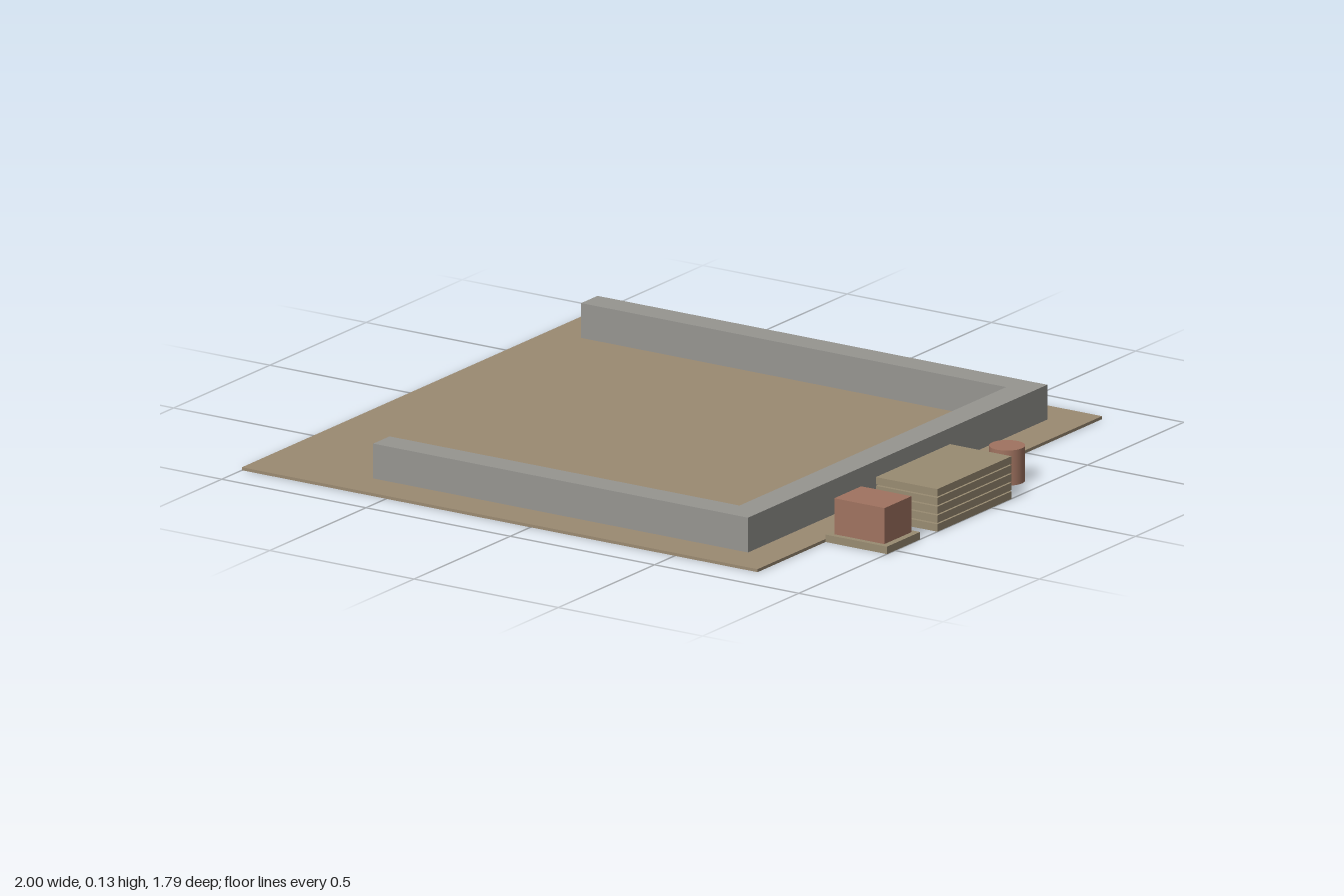
import * as THREE from 'three';

export function createModel() {
  const model = new THREE.Group();
  const makeMaterial = (name, color) => {
    const m = new THREE.MeshStandardMaterial({ color });
    m.name = name;
    return m;
  };
  const earth = makeMaterial('earth brown', 0x9b8a72);
  const timber = makeMaterial('timber tan', 0x998b72);
  const stone = makeMaterial('stone grey', 0x969590);
  const clay = makeMaterial('clay red', 0xa07360);

  // Box given by its extents along each axis
  const addBox = (name, material, [x0, x1], [y0, y1], [z0, z1], parent = model) => {
    const mesh = new THREE.Mesh(new THREE.BoxGeometry(x1 - x0, y1 - y0, z1 - z0), material);
    mesh.position.set((x0 + x1) / 2, (y0 + y1) / 2, (z0 + z1) / 2);
    mesh.name = name;
    parent.add(mesh);
  };

  // Ground slab
  addBox('groundSlab', earth, [-1, 0.787], [0, 0.009], [-0.895, 0.895]);

  // Unfinished three-sided wall, extruded upwards from its plan (x, -z)
  const plan = new THREE.Shape([
    [-0.885, 0.78], [-0.885, 0.695], [0.588, 0.695], [0.588, -0.69],
    [-0.625, -0.69], [-0.625, -0.775], [0.674, -0.775], [0.674, 0.78],
  ].map(([x, y]) => new THREE.Vector2(x, y)));
  const wallGeometry = new THREE.ExtrudeGeometry(plan, { depth: 0.111, bevelEnabled: false });
  wallGeometry.rotateX(-Math.PI / 2);
  const wall = new THREE.Mesh(wallGeometry, stone);
  wall.position.y = 0.003;
  wall.name = 'foundationWall';
  model.add(wall);

  // Stack of five planks with narrow gaps
  const stack = new THREE.Group();
  stack.name = 'plankStack';
  model.add(stack);
  for (let i = 0; i < 5; i++) {
    const y = i * 0.0265;
    addBox('plank', timber, [0.787, 1], [y, y + 0.0225], [-0.105, 0.28], stack);
  }

  // Crate of bricks on a pallet
  addBox('pallet', timber, [0.787, 1], [0, 0.0225], [0.37, 0.542]);
  addBox('brickBlock', clay, [0.806, 0.98], [0.0225, 0.131], [0.385, 0.525]);

  // Barrel
  const barrel = new THREE.Mesh(new THREE.CylinderGeometry(0.052, 0.052, 0.106, 32), clay);
  barrel.position.set(0.89, 0.053, -0.247);
  barrel.name = 'barrel';
  model.add(barrel);

  return model;
}
